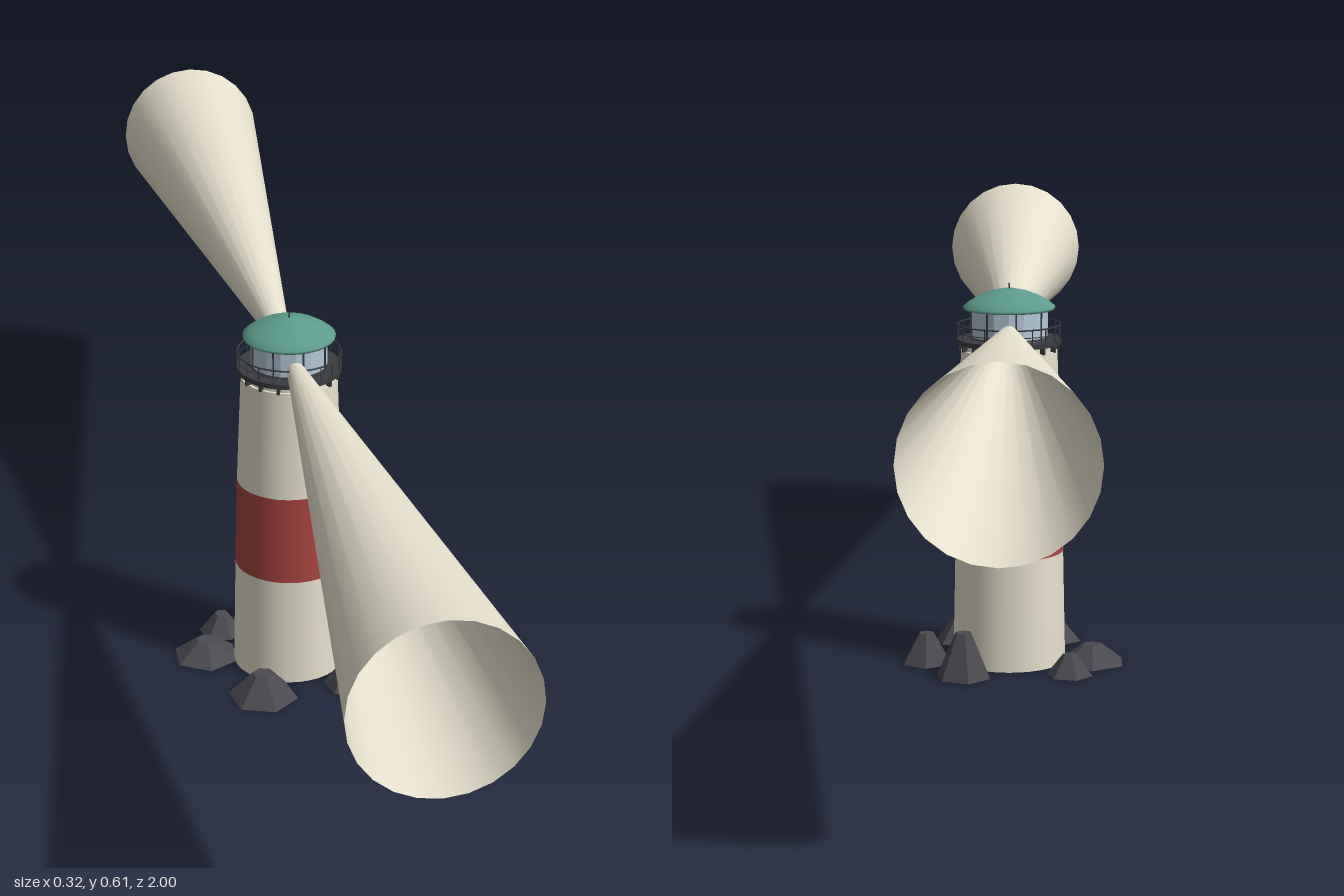
import * as THREE from 'three';

const mat = (name, color, extra = {}) => {
  const m = new THREE.MeshStandardMaterial({ color, ...extra });
  m.name = name;
  return m;
};

export function createModel() {
  const cream = mat('cream', 0xe6e0cd);
  const beamCream = mat('beam cream', 0xe6e0cd, { side: THREE.DoubleSide });
  const red = mat('red', 0xa8453e);
  const teal = mat('teal', 0x5c9c8c);
  const glass = mat('glass', 0xb4c8d8, { flatShading: true });
  const iron = mat('iron', 0x3a3c40);
  const stone = mat('stone', 0x4b4a50, { flatShading: true });

  const root = new THREE.Group();
  root.name = 'lighthouse';
  const house = new THREE.Group();
  house.name = 'tower';
  house.position.x = 0.005;
  root.add(house);

  const add = (parent, name, geo, material, x = 0, y = 0, z = 0) => {
    const m = new THREE.Mesh(geo, material);
    m.name = name;
    m.position.set(x, y, z);
    parent.add(m);
    return m;
  };
  // upright drum between two heights
  const drum = (name, material, r0, r1, y0, y1, seg = 32, open = false) =>
    add(house, name, new THREE.CylinderGeometry(r1, r0, y1 - y0, seg, 1, open), material, 0, (y0 + y1) / 2, 0);
  // repeat a part around the tower axis
  const around = (name, n, r, y, geo, material, offset = 0) => {
    for (let i = 0; i < n; i++) {
      const a = ((i + offset) / n) * Math.PI * 2;
      add(house, name, geo, material, Math.sin(a) * r, y, Math.cos(a) * r).rotation.y = a;
    }
  };
  const ring = (name, r, y, t) =>
    add(house, name, new THREE.TorusGeometry(r, t, 6, 40), iron, 0, y, 0).rotateX(Math.PI / 2);

  // tapering shaft with one painted band
  drum('lowerShaft', cream, 0.083, 0.0795, 0, 0.166);
  drum('redBand', red, 0.0798, 0.0768, 0.166, 0.3);
  drum('upperShaft', cream, 0.0765, 0.07, 0.3, 0.465);
  drum('corbel', cream, 0.066, 0.066, 0.465, 0.474);
  around('bracket', 16, 0.069, 0.469, new THREE.BoxGeometry(0.004, 0.01, 0.008), iron);

  // gallery deck and railing
  drum('galleryDeck', iron, 0.076, 0.076, 0.474, 0.481);
  around('railPost', 20, 0.075, 0.491, new THREE.CylinderGeometry(0.0009, 0.0009, 0.022, 5), iron, 0.5);
  ring('topRail', 0.075, 0.502, 0.0012);
  ring('midRail', 0.075, 0.491, 0.0007);

  // glazed lantern room
  drum('lanternGlass', glass, 0.056, 0.056, 0.481, 0.527, 16);
  around('glazingBar', 8, 0.056, 0.504, new THREE.BoxGeometry(0.002, 0.046, 0.002), iron, 0.25);
  ring('lanternSill', 0.056, 0.483, 0.0015);
  ring('lanternHead', 0.056, 0.525, 0.0015);

  // roof dome and finial
  const dome = [[0, 0.524], [0.066, 0.524], [0.067, 0.528], [0.058, 0.535], [0.044, 0.543], [0.026, 0.55], [0.01, 0.5535], [0, 0.554]]
    .map(([x, y]) => new THREE.Vector2(x, y));
  add(house, 'roofDome', new THREE.LatheGeometry(dome, 32), teal);
  drum('finial', iron, 0.0015, 0.0008, 0.553, 0.562, 6);

  // hollow light beams to front and back
  for (const s of [1, -1]) {
    const geo = new THREE.CylinderGeometry(0.115, 0.013, 0.944, 24, 1, true);
    geo.rotateX(s * Math.PI / 2);
    add(house, s > 0 ? 'frontBeam' : 'backBeam', geo, beamCream, 0, 0.494, s * 0.528);
  }

  // rocks: x, z, radius, height, turn
  const rocks = [
    [-0.118, -0.022, 0.051, 0.027, 0],
    [-0.084, -0.092, 0.034, 0.031, 0.3],
    [0.07, -0.104, 0.041, 0.066, 0.2],
    [0.127, -0.025, 0.0375, 0.045, 0],
    [0.079, 0.099, 0.039, 0.037, 0.25],
    [-0.053, 0.112, 0.052, 0.038, 0.2],
  ];
  for (const [x, z, r, h, turn] of rocks)
    add(root, 'rock', new THREE.CylinderGeometry(r * 0.3, r, h, 6), stone, x, h / 2, z).rotation.y = turn;

  return root;
}
